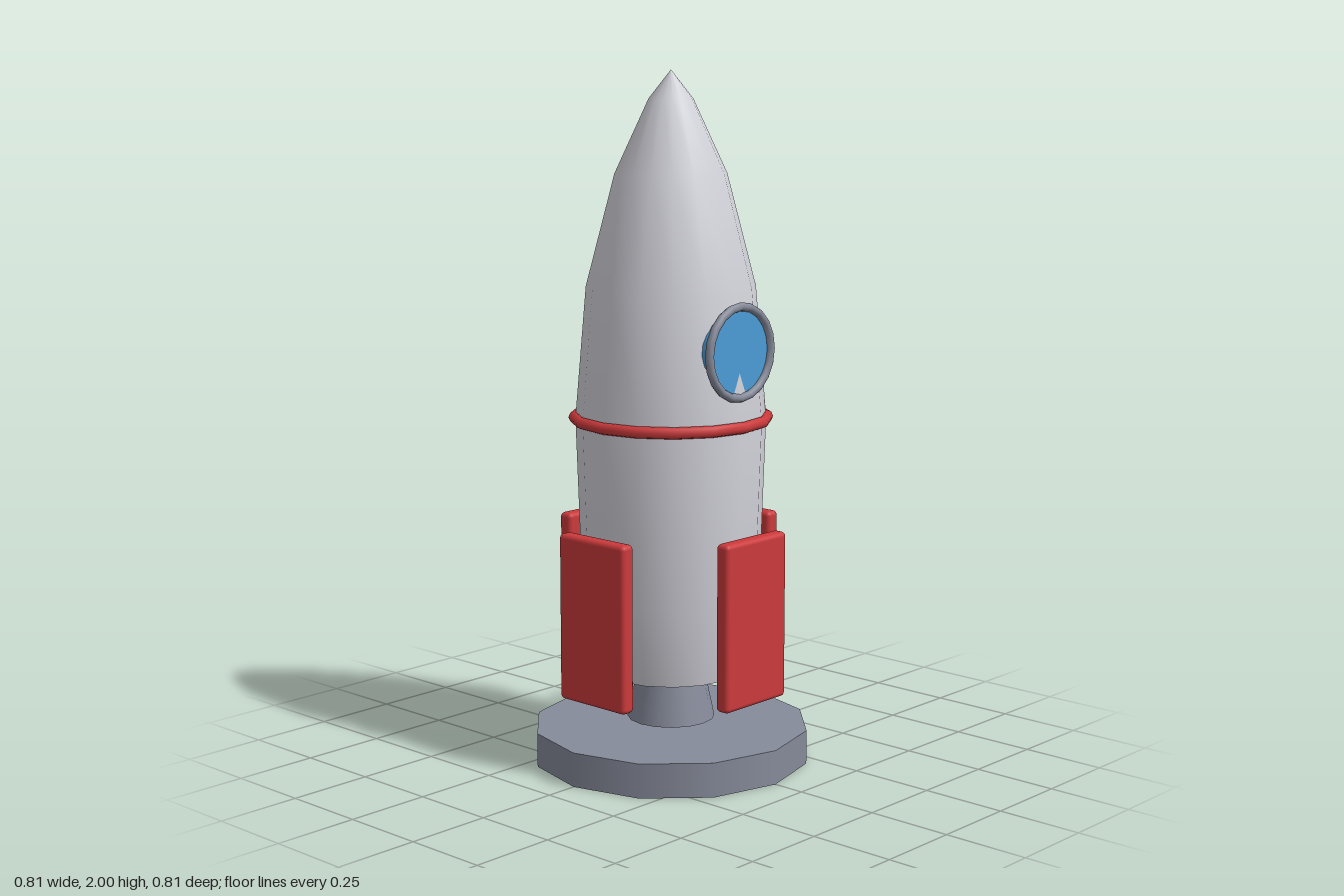
import * as THREE from 'three';
import { RoundedBoxGeometry } from 'three/addons/geometries/RoundedBoxGeometry.js';

export function createModel() {
  const model = new THREE.Group();
  model.name = 'rocket';

  const mat = (name, color, side = THREE.FrontSide) => {
    const m = new THREE.MeshStandardMaterial({ color, side });
    m.name = name;
    return m;
  };
  const hull = mat('hull white', 0xd2d2da, THREE.DoubleSide);
  const red = mat('trim red', 0xcc3a3c);
  const grey = mat('metal grey', 0x868b9a);
  const blue = mat('glass blue', 0x4c9cd8);

  const add = (name, geometry, material, x = 0, y = 0, z = 0) => {
    const mesh = new THREE.Mesh(geometry, material);
    mesh.name = name;
    mesh.position.set(x, y, z);
    model.add(mesh);
    return mesh;
  };

  // Launch pad
  add('launchPad', new THREE.CylinderGeometry(0.405, 0.405, 0.1, 12), grey, 0, 0.05);

  // Engine: flame stub and flared nozzle
  add('flame', new THREE.CylinderGeometry(0.05, 0.05, 0.1, 12), red, 0, 0.15);
  add('nozzle', new THREE.CylinderGeometry(0.09, 0.128, 0.18, 16), grey, 0, 0.21);

  // Hull, open at the tail and pointed at the nose
  const profile = [
    [0.21, 0.265], [0.258, 0.5], [0.275, 1.01], [0.243, 1.39],
    [0.16, 1.71], [0.063, 1.92], [0, 2],
  ].map(([r, y]) => new THREE.Vector2(r, y));
  add('hull', new THREE.LatheGeometry(profile, 16), hull);

  // Belt around the waist
  const belt = new THREE.TorusGeometry(0.278, 0.017, 8, 16).rotateX(Math.PI / 2);
  add('belt', belt, red, 0, 1.012);

  // Four upright fins standing off the hull
  const finGeometry = new RoundedBoxGeometry(0.256, 0.485, 0.046, 3, 0.014);
  for (let i = 0; i < 4; i++) {
    const a = (i * Math.PI) / 2;
    const fin = add('fin', finGeometry, red, 0.31 * Math.sin(a), 0.46, 0.31 * Math.cos(a));
    fin.rotation.y = a;
  }

  // Porthole on the +x side
  const glass = new THREE.CylinderGeometry(0.117, 0.117, 0.062, 24).rotateZ(-Math.PI / 2);
  add('portholeGlass', glass, blue, 0.231, 1.223);
  const frame = new THREE.TorusGeometry(0.129, 0.0125, 8, 20).rotateY(Math.PI / 2);
  add('portholeFrame', frame, grey, 0.264, 1.223);

  return model;
}
